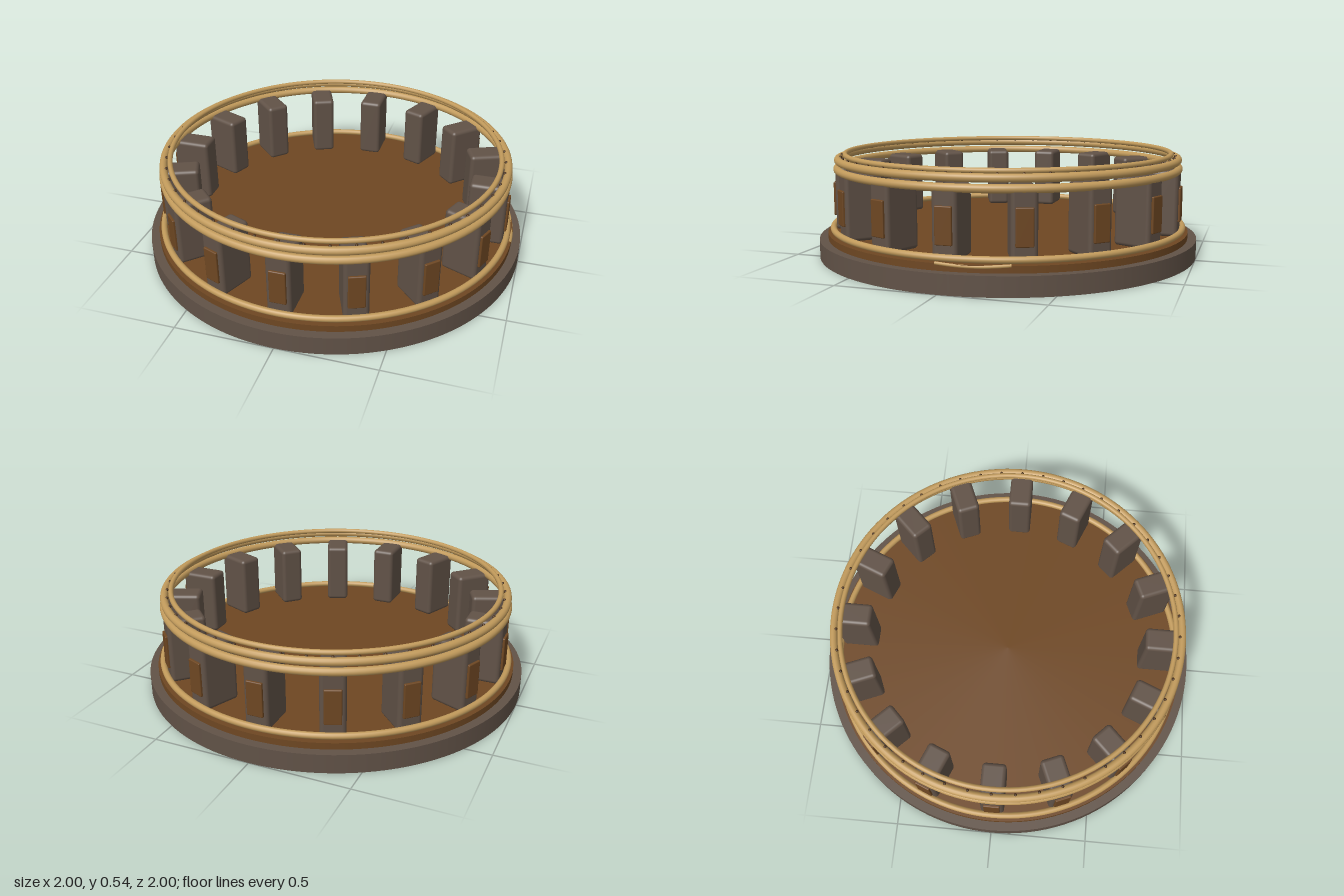
import * as THREE from 'three';
import { RoundedBoxGeometry } from 'three/addons/geometries/RoundedBoxGeometry.js';

function material(name, color) {
  const m = new THREE.MeshStandardMaterial({ color });
  m.name = name;
  return m;
}

export function createModel() {
  const stone = material('stone', 0x615247);
  const wood = material('wood', 0x6e4722);
  const gold = material('gold', 0xc19a5b);
  const dark = material('dark bronze', 0x4a3018);

  const model = new THREE.Group();
  model.name = 'colonnadeRing';

  function add(parent, name, geometry, mat, x = 0, y = 0, z = 0) {
    const mesh = new THREE.Mesh(geometry, mat);
    mesh.name = name;
    mesh.position.set(x, y, z);
    parent.add(mesh);
    return mesh;
  }

  function disc(name, radius, bottom, top, mat) {
    const h = top - bottom;
    add(model, name, new THREE.CylinderGeometry(radius, radius, h, 128), mat, 0, bottom + h / 2, 0);
  }

  function ring(name, radius, tube, y) {
    const g = new THREE.TorusGeometry(radius, tube, 14, 128);
    g.rotateX(Math.PI / 2);
    add(model, name, g, gold, 0, y, 0);
  }

  // Stepped base
  disc('basePlinth', 1, 0, 0.095, stone);
  disc('floor', 0.955, 0.095, 0.128, wood);

  // Trim rings
  ring('lowerRing', 0.927, 0.016, 0.148);
  ring('railLower', 0.9, 0.02, 0.455);
  ring('railUpper', 0.895, 0.02, 0.501);
  ring('railCap', 0.859, 0.013, 0.528);

  // Sixteen pillars, each with a thin plaque on its outer face
  const pillarGeo = new RoundedBoxGeometry(0.122, 0.335, 0.195, 4, 0.02);
  const plaqueGeo = new RoundedBoxGeometry(0.082, 0.176, 0.016, 2, 0.005);
  for (let i = 0; i < 16; i++) {
    const pillar = new THREE.Group();
    pillar.name = 'pillar';
    pillar.rotation.y = (i / 16) * Math.PI * 2;
    add(pillar, 'pillarBlock', pillarGeo, stone, 0, 0.293, 0.815);
    add(pillar, 'plaque', plaqueGeo, wood, 0, 0.288, 0.916);
    model.add(pillar);
  }

  // Small studs around the upper rail
  const studGeo = new THREE.SphereGeometry(0.008, 8, 6);
  for (let i = 0; i < 48; i++) {
    const a = (i / 48) * Math.PI * 2;
    add(model, 'stud', studGeo, dark, Math.sin(a) * 0.881, 0.517, Math.cos(a) * 0.881);
  }

  // Short gold lip on the left side of the step
  const lipPoints = [];
  for (let i = 0; i <= 12; i++) {
    const t = i / 12;
    const a = -0.03 + t * 0.36;
    const y = 0.128 - 0.008 * Math.sin(Math.PI * t);
    lipPoints.push(new THREE.Vector3(Math.cos(a) * 0.95, y, -Math.sin(a) * 0.95));
  }
  const lipCurve = new THREE.CatmullRomCurve3(lipPoints);
  add(model, 'goldLip', new THREE.TubeGeometry(lipCurve, 32, 0.008, 8), gold);

  return model;
}
